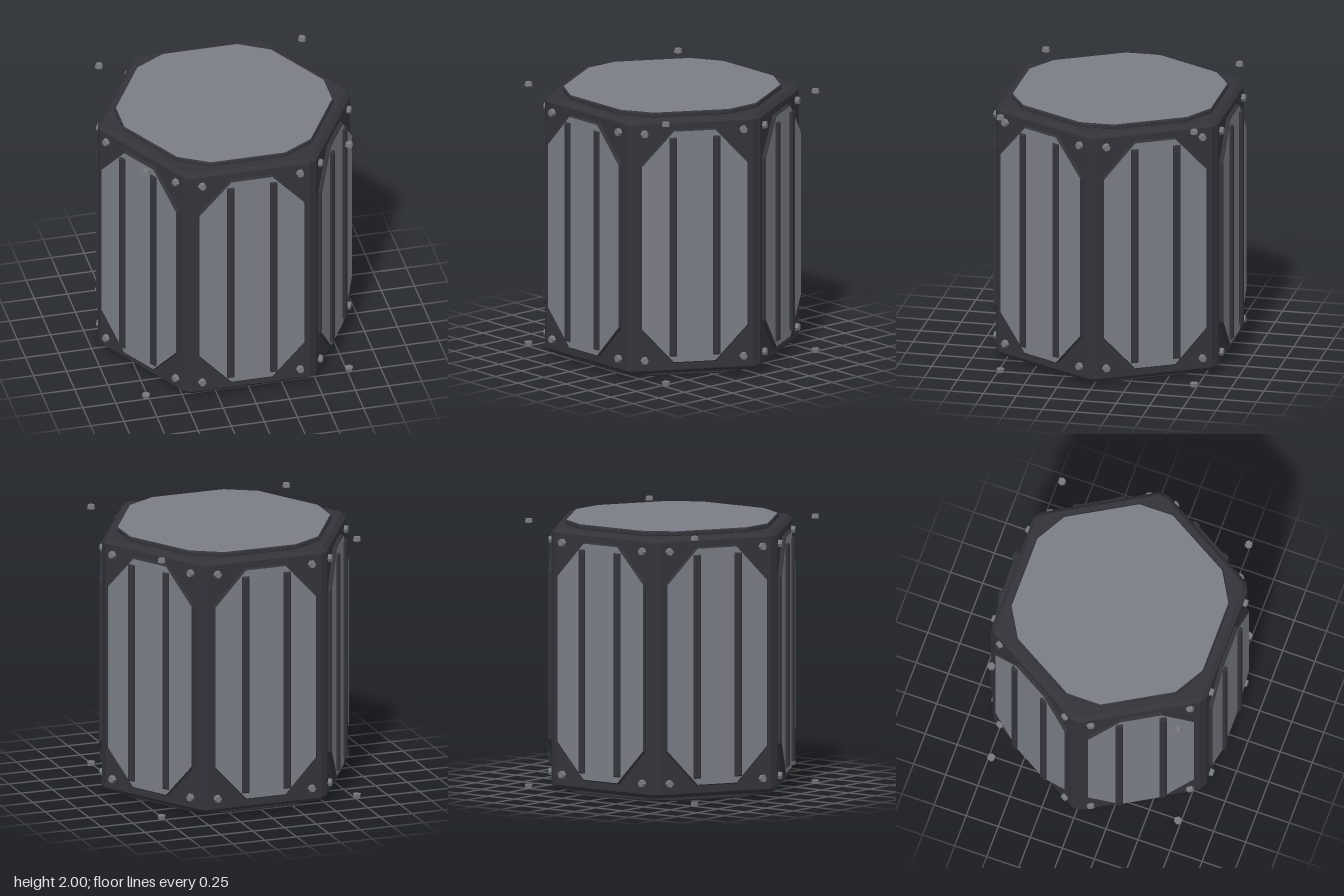
import * as THREE from 'three';

const frame = new THREE.MeshStandardMaterial({ color: 0x34333a, flatShading: true });
frame.name = 'dark frame';
const panel = new THREE.MeshStandardMaterial({ color: 0x7a7d85, flatShading: true });
panel.name = 'grey panel';
const steel = new THREE.MeshStandardMaterial({ color: 0x77797d, flatShading: true });
steel.name = 'bolt steel';

const APOTHEM = 0.835;

function mesh(name, geometry, material) {
  const m = new THREE.Mesh(geometry, material);
  m.name = name;
  return m;
}

// Hexagon with its six corners cut off at distance r, each cut 2 * half wide
function cutHexagon(r, half) {
  const points = [];
  for (let k = 0; k < 6; k++) {
    const c = Math.cos(k * Math.PI / 3), s = Math.sin(k * Math.PI / 3);
    for (const t of [-half, half]) points.push(new THREE.Vector2(r * c - t * s, r * s + t * c));
  }
  return new THREE.Shape(points);
}

// Plate facing +z from z = 0 to z = thickness, with a chamfered rim outside the outline
function plate(shape, thickness, rim) {
  return new THREE.ExtrudeGeometry(shape, {
    depth: thickness - 2 * rim, bevelEnabled: true, bevelSegments: 1,
    bevelSize: rim, bevelThickness: rim,
  }).translate(0, 0, rim);
}

// Hexagonal bolt head pointing along +y, points on the x axis
const boltGeometry = new THREE.CylinderGeometry(0.026, 0.031, 0.03, 6).rotateY(Math.PI / 6);

// One side of the hexagon, facing +z
function makeSide() {
  const side = new THREE.Group();
  const w = 0.395, h = 0.875, cw = 0.155, ch = 0.615;
  const outline = new THREE.Shape([
    [w, -ch], [w, ch], [cw, h], [-cw, h], [-w, ch], [-w, -ch], [-cw, -h], [cw, -h],
  ].map(([x, y]) => new THREE.Vector2(x, y)));
  const sidePanel = mesh('sidePanel', plate(outline, 0.035, 0.008), [panel, frame]);
  sidePanel.position.set(0, 1.005, APOTHEM - 0.005);
  side.add(sidePanel);

  // Pair of raised vertical bars
  const barOutline = new THREE.Shape([
    [-0.018, -0.82], [0.018, -0.82], [0.018, 0.82], [-0.018, 0.82],
  ].map(([x, y]) => new THREE.Vector2(x, y)));
  for (const sx of [-1, 1]) {
    const bar = mesh('verticalBar', plate(barOutline, 0.03, 0.009), frame);
    bar.position.set(sx * 0.163, 1.007, 0.861);
    side.add(bar);
    // Corner bolts
    for (const sy of [-1, 1]) {
      const bolt = mesh('sideBolt', boltGeometry, steel);
      bolt.rotation.x = Math.PI / 2;
      bolt.position.set(sx * 0.37, 1.005 + sy * 0.86, APOTHEM + 0.013);
      side.add(bolt);
    }
  }
  return side;
}

export function createModel() {
  const model = new THREE.Group();
  model.name = 'hexagonalContainer';

  // Body with chamfered corners and rims
  const bodyGeometry = new THREE.ExtrudeGeometry(cutHexagon(0.945, 0.033), {
    depth: 1.93 - 0.06, bevelEnabled: true, bevelSegments: 1,
    bevelSize: 0.03, bevelThickness: 0.03, bevelOffset: -0.03,
  }).translate(0, 0, -0.935).rotateX(-Math.PI / 2);
  const body = mesh('body', bodyGeometry, frame);
  body.position.y = 1;
  model.add(body);

  // Six sides
  for (let k = 0; k < 6; k++) {
    const side = makeSide();
    side.name = 'side' + (k + 1);
    side.rotation.y = k * Math.PI / 3;
    model.add(side);
  }

  // Top and bottom end panels, with the detached bolts around them
  for (const s of [1, -1]) {
    const end = mesh(s > 0 ? 'topPanel' : 'bottomPanel',
      plate(cutHexagon(0.785, 0.13), 0.04, 0.009), [panel, frame]);
    end.rotation.x = -s * Math.PI / 2;
    end.position.y = 1 + s * 0.96;
    model.add(end);
    for (const sx of [-1, 1]) for (const sz of [-1, 1]) {
      const bolt = mesh('endBolt', boltGeometry, steel);
      bolt.rotation.x = s > 0 ? 0 : Math.PI;
      bolt.position.set(sx * 0.767, 1 + s * 0.985, sz * 0.728);
      model.add(bolt);
    }
  }
  return model;
}
